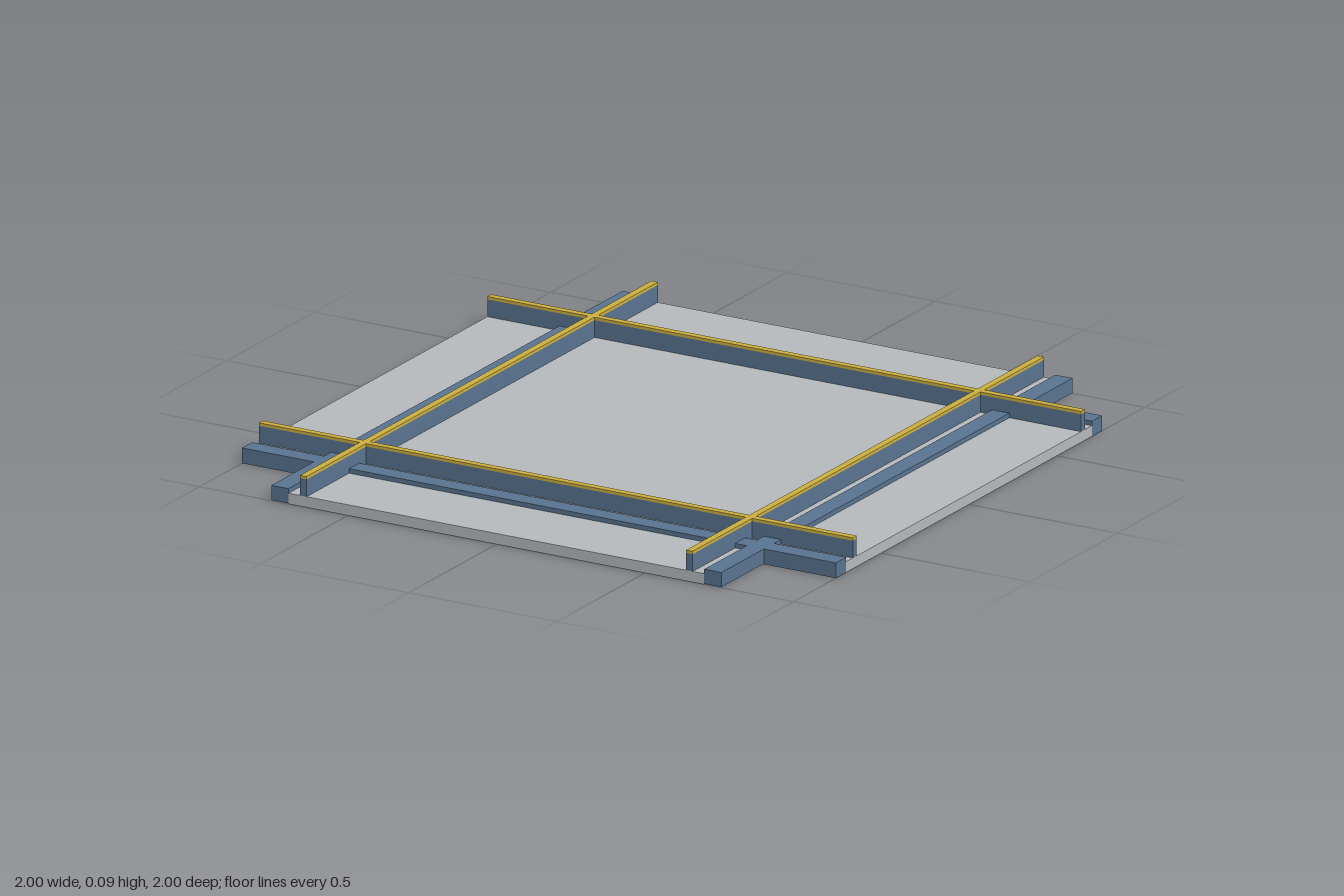
import * as THREE from 'three';

export function createModel() {
  const model = new THREE.Group();
  const material = (name, color) => Object.assign(new THREE.MeshStandardMaterial({ color }), { name });
  const grey = material('panel grey', 0xb5b9bc);
  const blue = material('steel blue', 0x58738f);
  const yellow = material('trim yellow', 0xcbae3f);

  // Box spanning y0..y1, centred at x, z
  function slab(name, mat, width, depth, y0, y1, x, z) {
    const mesh = new THREE.Mesh(new THREE.BoxGeometry(width, y1 - y0, depth), mat);
    mesh.name = name;
    mesh.position.set(x, (y0 + y1) / 2, z);
    model.add(mesh);
  }

  // Cross-shaped floor
  slab('floorPanel', grey, 2, 1.4, 0, 0.033, 0, 0);

  for (const s of [-1, 1]) {
    slab('floorEnd', grey, 1.4, 0.242, 0, 0.033, 0, s * 0.879);

    // Low wide beams; the lengthwise pair sits a hair above the floor's underside
    slab('crossBeam', blue, 2, 0.058, 0, 0.047, 0, s * 0.729);
    slab('lengthBeam', blue, 0.058, 2, 0.002, 0.047, s * 0.729, 0);

    // Tall thin rails with a coloured cap strip
    slab('crossRail', blue, 2, 0.022, 0.033, 0.086, 0, s * 0.65);
    slab('lengthRail', blue, 0.022, 2, 0.033, 0.086, s * 0.65, 0);
    slab('crossRailCap', yellow, 2, 0.022, 0.086, 0.095, 0, s * 0.65);
    slab('lengthRailCap', yellow, 0.022, 2, 0.086, 0.095, s * 0.65, 0);
  }
  return model;
}
